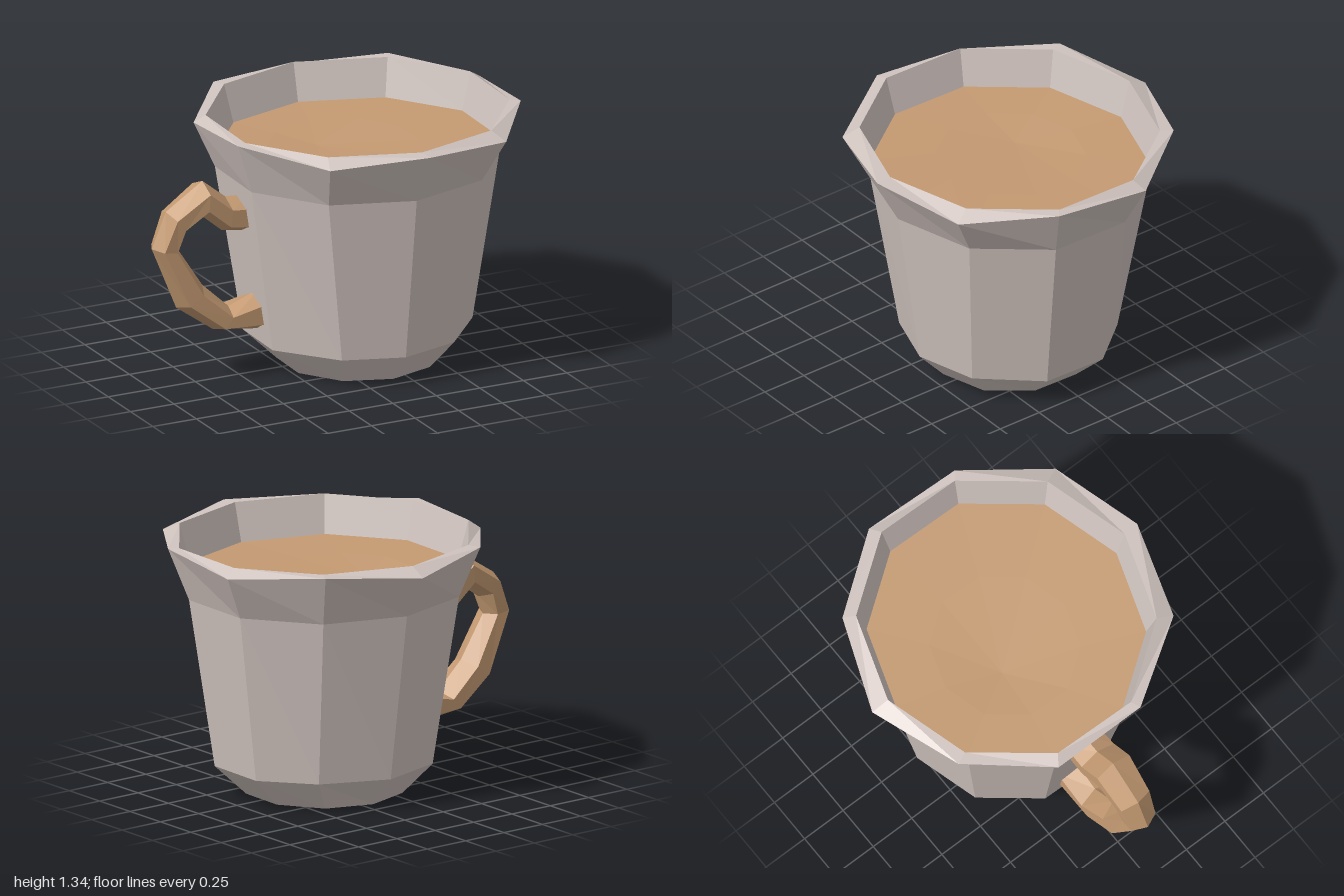
import * as THREE from 'three';

const SIDES = 10;
const TWIST = -0.023;

// Ten-sided horizontal ring, slightly wider in x; "dip" lowers every second
// corner and "nudge" shifts single corners by [dx, dz] for a hand-shaped look
function ring(rx, rz, y, { dip = 0, cx = 0.18, cz = 0.005, nudge = {} } = {}) {
  return Array.from({ length: SIDES }, (_, k) => {
    const a = (k / SIDES) * Math.PI * 2 + TWIST;
    const [dx, dz] = nudge[k] ?? [0, 0];
    return new THREE.Vector3(cx + rx * Math.sin(a) + dx, y - (k % 2) * dip, cz + rz * Math.cos(a) + dz);
  });
}

function middle(points) {
  return points.reduce((sum, p) => sum.add(p), new THREE.Vector3()).divideScalar(points.length);
}

function fan(points, centre) {
  return points.flatMap((p, k) => [p, points[(k + 1) % points.length], centre]);
}

// Faceted skin through successive rings, with optional closing points
function loft(rings, startCentre, endCentre) {
  const tris = [];
  const n = rings[0].length;
  for (let j = 0; j < rings.length - 1; j++) {
    const lo = rings[j], up = rings[j + 1];
    for (let k = 0; k < n; k++) {
      const m = (k + 1) % n;
      tris.push(lo[k], lo[m], up[k], lo[m], up[m], up[k]);
    }
  }
  if (startCentre) tris.push(...fan(rings[0], startCentre).reverse());
  if (endCentre) tris.push(...fan(rings.at(-1), endCentre));
  const geometry = new THREE.BufferGeometry().setFromPoints(tris);
  geometry.computeVertexNormals();
  return geometry;
}

export function createModel() {
  const clay = new THREE.MeshStandardMaterial({ color: 0xcfc3be, flatShading: true });
  clay.name = 'greyClay';
  const tan = new THREE.MeshStandardMaterial({ color: 0xc49a72, flatShading: true });
  tan.name = 'warmTan';

  const model = new THREE.Group();
  model.name = 'mug';
  const add = (name, geometry, material) => {
    const mesh = new THREE.Mesh(geometry, material);
    mesh.name = name;
    model.add(mesh);
  };

  // Cup: foot, body, flared lip, then the inside wall down to the drink
  const foot = ring(0.42, 0.42, 0);
  const drinkEdge = ring(0.735, 0.702, 1.14);
  add('cup', loft([
    foot,
    ring(0.597, 0.568, 0.165, { nudge: { 1: [-0.03, 0.01], 4: [0, 0.035], 9: [0.035, 0.01] } }),
    ring(0.74, 0.702, 1.06, { cx: 0.177 }),
    ring(0.852, 0.845, 1.337, {
      dip: 0.04, cx: 0.187, cz: 0,
      nudge: { 1: [0, 0.015], 2: [-0.02, 0.01], 4: [-0.01, 0.015], 6: [0, 0.015], 9: [0, 0.02] },
    }),
    ring(0.79, 0.755, 1.34),
    drinkEdge,
  ], middle(foot)), clay);

  // Drink: faceted surface sagging gently to an off-centre low point
  add('drink', loft([
    drinkEdge,
    ring(0.4, 0.38, 1.132, { cx: 0.12, cz: -0.05 }),
  ], null, new THREE.Vector3(0.02, 1.112, -0.15)), tan);

  // Handle: six-sided loop, [outer x, outer y, inner x, inner y, depth radius]
  const stations = [
    [-0.45, 0.97, -0.45, 0.775, 0.115],
    [-0.58, 0.98, -0.60, 0.80, 0.12],
    [-0.71, 1.085, -0.725, 0.905, 0.12],
    [-0.92, 0.95, -0.825, 0.835, 0.105],
    [-1.00, 0.76, -0.853, 0.74, 0.09],
    [-0.86, 0.42, -0.71, 0.52, 0.11],
    [-0.65, 0.27, -0.56, 0.38, 0.12],
    [-0.37, 0.228, -0.38, 0.45, 0.12],
  ];
  const handleRings = stations.map(([ox, oy, ix, iy, depth]) =>
    Array.from({ length: 6 }, (_, k) => {
      const a = (k / 6) * Math.PI * 2;
      const t = (1 + Math.cos(a)) / 2;
      return new THREE.Vector3(ix + (ox - ix) * t, iy + (oy - iy) * t, -depth * Math.sin(a));
    }));
  add('handle', loft(handleRings, middle(handleRings[0]), middle(handleRings.at(-1))), tan);

  return model;
}
